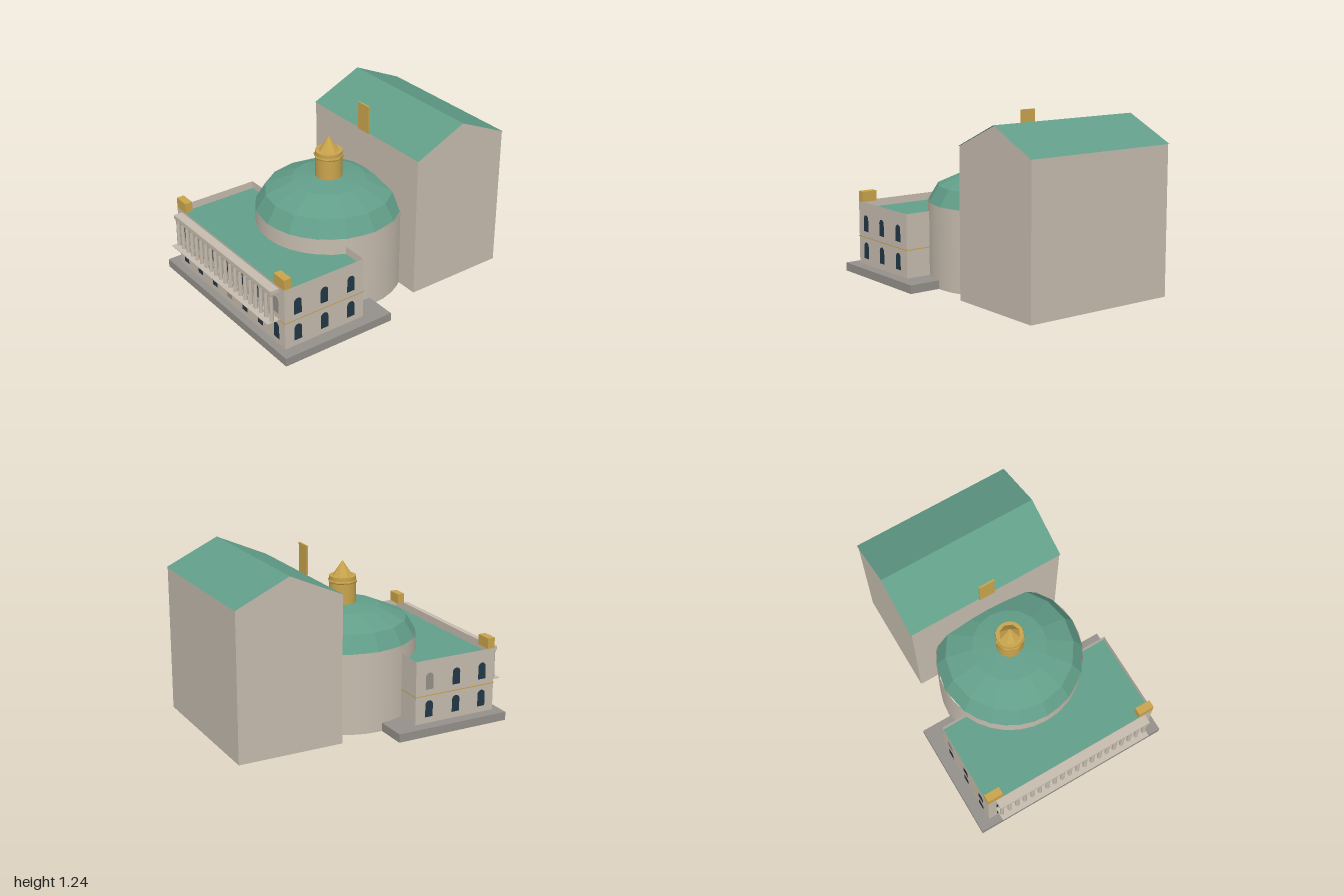
import * as THREE from 'three';

const mat = (name, color) => {
  const m = new THREE.MeshStandardMaterial({ color, side: THREE.DoubleSide });
  m.name = name;
  return m;
};

export function createModel() {
  const root = new THREE.Group();
  root.name = 'concertHall';
  const stone = mat('stone', 0xc6bcae);
  const copper = mat('greenCopper', 0x629e89);
  const gold = mat('gold', 0xc9a44c);
  const grey = mat('greyStone', 0x94908a);
  const glass = mat('darkGlass', 0x213745);
  const copperFlat = copper;
  copperFlat.flatShading = true;

  const add = (name, geo, material, x = 0, y = 0, z = 0, parent = root) => {
    const m = new THREE.Mesh(geo, material);
    m.name = name;
    m.position.set(x, y, z);
    parent.add(m);
    return m;
  };
  // Box given by its limits on each axis
  const block = (name, material, x0, x1, y0, y1, z0, z1) =>
    add(name, new THREE.BoxGeometry(x1 - x0, y1 - y0, z1 - z0), material,
      (x0 + x1) / 2, (y0 + y1) / 2, (z0 + z1) / 2);
  // Four upright faces without top or bottom
  const walls = (name, material, x0, x1, y0, y1, z0, z1) => {
    const g = new THREE.Group();
    g.name = name;
    const w = x1 - x0, h = y1 - y0, d = z1 - z0, cx = (x0 + x1) / 2, cy = (y0 + y1) / 2, cz = (z0 + z1) / 2;
    const sides = [[w, cx, z1, 0], [d, x1, cz, 1], [w, cx, z0, 2], [d, x0, cz, 3]];
    sides.forEach(([len, x, z, turn]) => {
      add(name + 'Side', new THREE.PlaneGeometry(len, h), material, x, cy, z, g).rotation.y = turn * Math.PI / 2;
    });
    root.add(g);
    return g;
  };
  // Flat horizontal sheet
  const sheet = (name, material, w, d, y, z) =>
    add(name, new THREE.PlaneGeometry(w, d), material, 0, y, z).rotation.x = -Math.PI / 2;

  // Plinth, hollow underneath
  walls('plinthSides', grey, -0.745, 0.745, 0, 0.06, 0.1, 0.96);
  sheet('plinthTop', grey, 1.49, 0.86, 0.06, 0.53);

  // Front block with parapet, sunken roof and gilded string course
  walls('frontBlockWalls', stone, -0.66, 0.66, 0.06, 0.515, 0.275, 0.905);
  sheet('frontBlockRoof', copper, 1.318, 0.628, 0.46, 0.59);
  walls('stringCourse', gold, -0.663, 0.663, 0.257, 0.264, 0.272, 0.908);
  for (const s of [-1, 1]) {
    const x = s * 0.6025;
    block('cornerBlock', gold, x - 0.0575, x + 0.0575, 0.515, 0.59, 0.85, 0.905);
  }

  // Arched windows, a few of them blind
  const arch = new THREE.Shape();
  arch.moveTo(-0.03, 0);
  arch.lineTo(0.03, 0);
  arch.lineTo(0.03, 0.09);
  arch.absarc(0, 0.09, 0.03, 0, Math.PI, false);
  arch.closePath();
  const archGeo = new THREE.ShapeGeometry(arch, 5);
  const levels = [0.105, 0.305];
  const blindFront = ['3,0', '1,1', '6,1'];
  for (let i = 0; i < 7; i++) {
    levels.forEach((y, l) => {
      const blind = blindFront.includes(i + ',' + l);
      add('frontWindow', archGeo, blind ? grey : glass, (i - 3) * 0.189, y, 0.909);
    });
  }
  for (const s of [-1, 1]) {
    [0.38, 0.595, 0.805].forEach((z, i) => levels.forEach((y, l) => {
      const blind = s < 0 && i === 0 && l === 1;
      add('sideWindow', archGeo, blind ? grey : glass, s * 0.664, y, z).rotation.y = s * Math.PI / 2;
    }));
  }

  // Balcony colonnade
  block('balconyFloor', stone, -0.6, 0.6, 0.258, 0.263, 0.905, 1.0);
  block('entablature', stone, -0.6, 0.6, 0.472, 0.5, 0.905, 0.97);
  const shaft = new THREE.CylinderGeometry(0.013, 0.015, 0.212, 8);
  const capital = new THREE.CylinderGeometry(0.019, 0.014, 0.02, 8);
  const count = 20;
  for (let i = 0; i < count; i++) {
    const x = -0.58 + 1.16 * i / (count - 1);
    add('column', shaft, stone, x, 0.366, 0.953);
    add('capital', capital, stone, x, 0.462, 0.953);
  }

  // Drum and faceted dome
  const cz = 0.07;
  add('drum', new THREE.CylinderGeometry(0.515, 0.515, 0.577, 32, 1, true), stone, 0, 0.2885, cz);
  const dome = new THREE.SphereGeometry(0.517, 16, 3, 0, Math.PI * 2, 0, Math.PI / 2);
  dome.scale(1, 0.23 / 0.517, 1);
  add('dome', dome, copperFlat, 0, 0.576, cz);

  // Gilded lantern
  add('lanternDrum', new THREE.CylinderGeometry(0.094, 0.094, 0.19, 24), gold, 0, 0.89, cz);
  const ring = add('lanternRing', new THREE.TorusGeometry(0.096, 0.01, 6, 8), gold, 0, 0.948, cz);
  ring.rotation.x = Math.PI / 2;
  const spire = new THREE.ConeGeometry(0.072, 0.105, 8).toNonIndexed();
  spire.computeVertexNormals();
  add('lanternSpire', spire, gold, 0, 1.0375, cz);

  // Tall rear hall: walls, gables and pitched roof
  const back = -0.995, front = -0.24, ridge = -0.62, eaves = 1.037, top = 1.21;
  walls('rearHallWalls', stone, -0.575, 0.575, 0, eaves, back, front);
  const gable = new THREE.Shape([
    new THREE.Vector2(-front, eaves), new THREE.Vector2(-back, eaves), new THREE.Vector2(-ridge, top - 0.003),
  ]);
  for (const s of [-1, 1]) {
    add('gable', new THREE.ShapeGeometry(gable), stone, s * 0.575).rotation.y = Math.PI / 2;
  }
  for (const z of [front + 0.003, -1]) {
    const run = z - ridge, drop = top - eaves;
    const slope = add('rearRoofSlope', new THREE.PlaneGeometry(1.165, Math.hypot(run, drop)), copper,
      0, (top + eaves) / 2, (z + ridge) / 2);
    slope.rotation.x = (run > 0 ? -1 : 1) * Math.atan2(Math.abs(run), drop);
    if (run < 0) slope.rotation.set(-Math.PI + Math.atan2(-run, drop), Math.PI, Math.PI);
    if (run < 0) slope.rotation.set(-Math.PI / 2 - Math.atan2(drop, -run), 0, 0);
  }

  // Gilded panel on the hall eaves
  block('eavesPanel', gold, -0.058, 0.058, 1.037, 1.24, -0.238, -0.226);

  return root;
}
